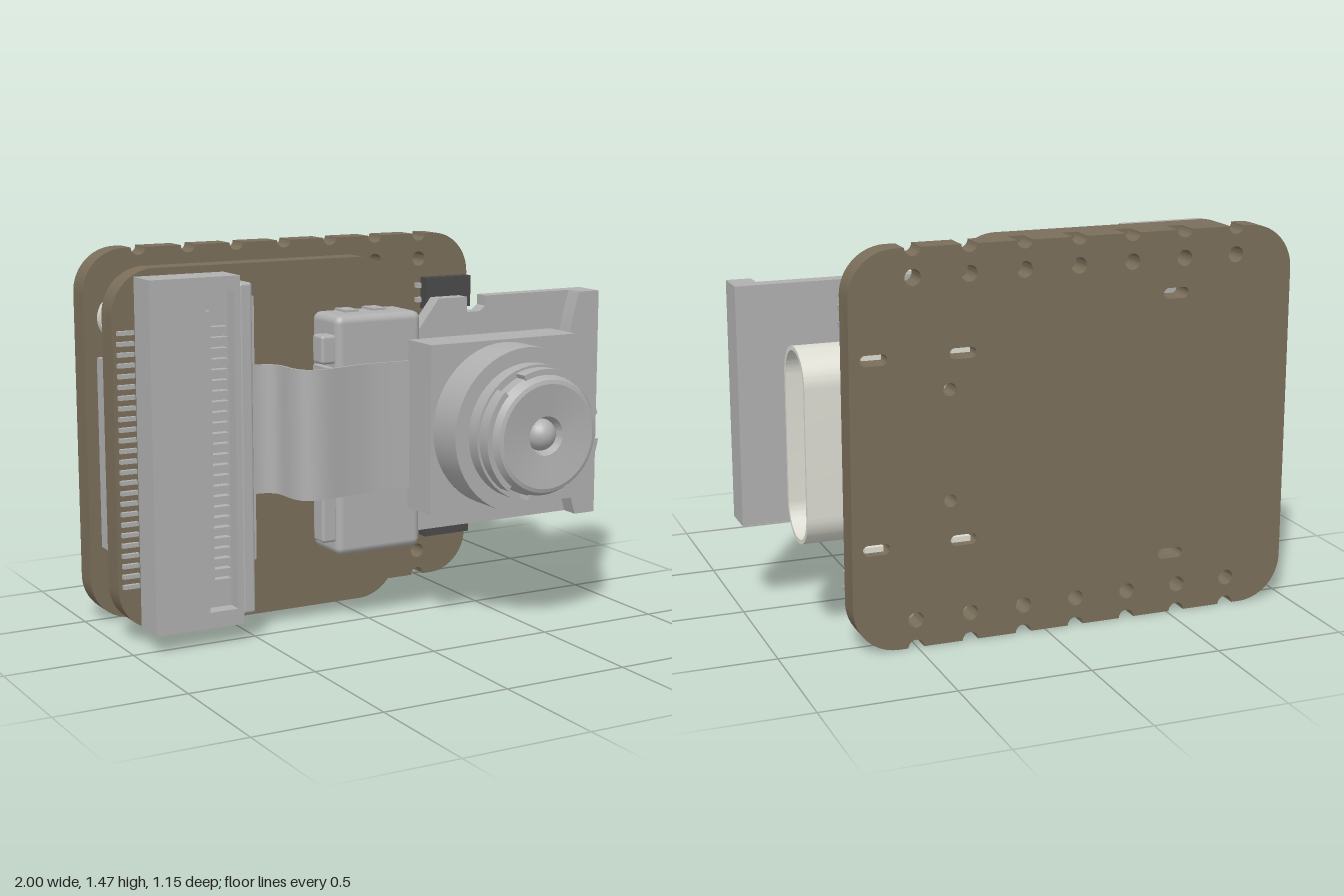
import * as THREE from 'three';
import { toCreasedNormals } from 'three/addons/utils/BufferGeometryUtils.js';
import { RoundedBoxGeometry } from 'three/addons/geometries/RoundedBoxGeometry.js';

const material = (name, color) => Object.assign(new THREE.MeshStandardMaterial({ color }), { name });

// Rounded rectangle with optional half-round notches along top and bottom edges
function roundRect(path, x0, x1, y0, y1, r, notches = [], nr = 0.03) {
  path.moveTo(x0 + r, y0);
  for (const x of notches) path.absarc(x, y0, nr, Math.PI, 0, true);
  path.absarc(x1 - r, y0 + r, r, -Math.PI / 2, 0);
  path.absarc(x1 - r, y1 - r, r, 0, Math.PI / 2);
  for (const x of [...notches].reverse()) path.absarc(x, y1, nr, 0, Math.PI, true);
  path.absarc(x0 + r, y1 - r, r, Math.PI / 2, Math.PI);
  path.absarc(x0 + r, y0 + r, r, Math.PI, Math.PI * 1.5);
  return path;
}

const extrude = (shape, depth) =>
  toCreasedNormals(new THREE.ExtrudeGeometry(shape, { depth, bevelEnabled: false, curveSegments: 12 }), 0.6);

export function createModel() {
  const model = new THREE.Group();
  model.name = 'cameraBoard';
  const brown = material('boardBrown', 0x7a6e5a);
  const gray = material('partGray', 0xb0b0b0);
  const dark = material('plasticDark', 0x4a4a4a);
  const black = material('tongueBlack', 0x303030);
  const light = material('shellLight', 0xdcdcd2);

  const add = (name, geometry, mat, x = 0, y = 0, z = 0, parent = model) => {
    const mesh = new THREE.Mesh(geometry, mat);
    mesh.name = name;
    mesh.position.set(x, y, z);
    parent.add(mesh);
    return mesh;
  };
  // Box given by its limits, rounded when r > 0
  const box = (name, mat, x0, x1, y0, y1, z0, z1, r = 0) => {
    const s = [x1 - x0, y1 - y0, z1 - z0];
    const g = r ? new RoundedBoxGeometry(...s, 3, r) : new THREE.BoxGeometry(...s);
    return add(name, g, mat, (x0 + x1) / 2, (y0 + y1) / 2, (z0 + z1) / 2);
  };

  // Main board with edge notches, pin holes and mounting slots
  const columns = Array.from({ length: 7 }, (_, i) => -0.75 + i * 0.209);
  const mainShape = roundRect(new THREE.Shape(), -0.98, 0.74, 0, 1.465, 0.17, columns);
  const hole = (x, y, r) => mainShape.holes.push(new THREE.Path().absarc(x, y, r, 0, Math.PI * 2));
  const slot = (x, y) =>
    mainShape.holes.push(roundRect(new THREE.Path(), x - 0.05, x + 0.05, y - 0.02, y + 0.02, 0.0199));
  for (const x of columns) for (const y of [0.105, 1.36]) hole(x, y, 0.03);
  for (const y of [0.54, 0.95]) hole(0.37, y, 0.024);
  for (const [x, dy] of [[0.65, 0.345], [0.32, 0.345], [-0.51, 0.5]])
    for (const s of [-1, 1]) slot(x, 0.733 + s * dy);
  add('mainBoard', extrude(mainShape, 0.1), brown, 0, 0, -0.575);

  // Smaller front board
  const frontShape = roundRect(new THREE.Shape(), -1, 0.2, 0.045, 1.42, 0.17);
  add('frontBoard', extrude(frontShape, 0.1), brown, 0, 0, -0.232);

  // Parts sandwiched between the boards
  box('shieldCan', gray, -0.68, 0.19, 0.2, 1.25, -0.475, -0.31, 0.02);
  box('boardConnector', gray, -0.93, -0.71, 0.3, 1.05, -0.475, -0.232);
  box('connectorFlange', gray, -0.95, -0.69, 0.32, 1.03, -0.25, -0.232);
  for (let i = 0; i < 20; i++) {
    const y = 0.36 + i * 0.033;
    box('connectorPin', gray, -0.965, -0.93, y, y + 0.014, -0.255, -0.235);
  }
  const antennaProfile = [[0, 0], [0.095, 0], [0.095, 0.035], [0.07, 0.035], [0.07, 0.055],
    [0.083, 0.06], [0.083, 0.1], [0.06, 0.1], [0.06, 0.06], [0, 0.06]].map(p => new THREE.Vector2(...p));
  const antenna = new THREE.LatheGeometry(antennaProfile, 32).rotateX(Math.PI / 2);
  add('antennaSocket', toCreasedNormals(antenna, 0.5), light, -0.83, 1.2, -0.475);

  // Side buttons beside the port, with solder leads
  for (const [y0, y1] of [[0.18, 0.31], [1.155, 1.285]]) {
    box('sideButton', dark, 0.505, 0.72, y0, y1, -0.46, -0.41);
    for (const y of [y0 + 0.025, y1 - 0.045])
      box('buttonLead', gray, 0.485, 0.74, y, y + 0.02, -0.475, -0.45);
  }

  // Charging port: hollow shell along x, insert and tongue
  const port = new THREE.Group();
  port.name = 'chargingPort';
  model.add(port);
  const shell = roundRect(new THREE.Shape(), 0.206, 0.47, 0.37, 1.096, 0.128);
  shell.holes.push(roundRect(new THREE.Path(), 0.222, 0.454, 0.386, 1.08, 0.112));
  add('portShell', extrude(shell, 0.6).rotateY(Math.PI / 2), light, 0.27, 0, 0, port);
  const insert = roundRect(new THREE.Shape(), 0.222, 0.454, 0.386, 1.08, 0.112);
  add('portInsert', extrude(insert, 0.13).rotateY(Math.PI / 2), dark, 0.28, 0, 0, port);
  box('portTongue', black, 0.4, 0.82, 0.46, 1.01, -0.367, -0.307);
  for (let i = 0; i < 12; i++)
    for (const z of [-0.371, -0.307]) {
      const y = 0.525 + i * 0.036;
      box('portContact', gray, 0.5, 0.79, y, y + 0.014, z, z + 0.004);
    }
  box('portTail', light, 0.2, 0.28, 0.5, 0.97, -0.475, -0.445);
  for (const x of [0.32, 0.65]) for (const y of [0.382, 1.084])
    box('portLeg', light, x - 0.035, x + 0.035, y - 0.01, y + 0.01, -0.55, -0.36);

  // Ribbon connector on the front board with its slotted window
  const frame = new THREE.Shape([[-0.92, 0.068], [-0.56, 0.068], [-0.56, 1.395], [-0.92, 1.395]]
    .map(p => new THREE.Vector2(...p)));
  frame.holes.push(new THREE.Path([[-0.68, 0.19], [-0.68, 1.27], [-0.7, 1.27], [-0.7, 1.34], [-0.585, 1.34],
    [-0.585, 0.13], [-0.7, 0.13], [-0.7, 0.19]].map(p => new THREE.Vector2(...p))));
  add('ribbonConnectorFrame', extrude(frame, 0.06), gray, 0, 0, -0.025);
  box('ribbonConnectorBase', gray, -0.92, -0.56, 0.068, 1.395, -0.11, -0.025);
  box('ribbonConnectorFoot', gray, -0.89, -0.58, 0.1, 1.36, -0.132, -0.11);
  box('ribbonConnectorLatch', gray, -0.56, -0.505, 0.1, 1.365, -0.11, 0.025, 0.012);
  box('ribbonStiffener', gray, -0.51, -0.45, 0.28, 1.3, -0.095, -0.08);
  for (let i = 0; i < 25; i++) {
    const y = 0.22 + i * 0.04;
    box('solderTail', gray, -0.985, -0.92, y, y + 0.016, -0.132, -0.115);
    box('contactBar', gray, -0.68, -0.6, y + 0.01, y + 0.027, -0.025, 0.01);
  }

  // Flexible ribbon: a thin curved strip extruded along y
  const curve = new THREE.SplineCurve([[-0.5, 0.085], [-0.42, 0.085], [-0.37, 0.045], [-0.36, -0.06],
    [-0.335, -0.115], [-0.27, -0.135], [-0.15, -0.112], [-0.03, -0.096], [0.13, -0.104]]
    .map(p => new THREE.Vector2(...p)));
  const side = (s) => Array.from({ length: 49 }, (_, i) => {
    const p = curve.getPoint(i / 48), t = curve.getTangent(i / 48);
    return new THREE.Vector2(p.x - t.y * s, p.y + t.x * s);
  });
  const strip = new THREE.Shape([...side(-0.005), ...side(0.005).reverse()]);
  add('flexRibbon', extrude(strip, 0.5).rotateX(-Math.PI / 2), gray, 0, 0.537, 0);

  // Card socket with clips
  box('cardSocket', gray, -0.18, 0.192, 0.29, 1.222, -0.132, 0.078, 0.03);
  for (const [y0, y1] of [[0.345, 0.53], [1.04, 1.15]]) {
    box('socketClip', gray, -0.235, -0.17, y0, y1, -0.02, 0.06, 0.012);
    box('socketClipStep', gray, -0.21, -0.17, 0.733 * 0.3 + y0 * 0.7, 0.733 * 0.3 + y1 * 0.7, -0.06, 0.05);
  }
  for (const x of [-0.09, 0.03]) box('socketTab', gray, x, x + 0.06, 1.2, 1.23, -0.11, -0.02);

  // Memory card with a raised, curved finger grip
  const card = new THREE.Shape([[0, 0.345], [0.995, 0.345], [0.995, 1.26], [0.5, 1.26], [0.5, 1.22],
    [0.475, 1.2], [0.415, 1.2], [0.415, 1.26], [0.285, 1.26], [0.2, 1.15], [0, 1.15]]
    .map(p => new THREE.Vector2(...p)));
  add('memoryCard', extrude(card, 0.062), gray, 0, 0, -0.013);
  const grip = new THREE.Shape();
  grip.moveTo(0.995, 0.345);
  grip.lineTo(0.995, 1.26);
  grip.lineTo(0.9, 1.26);
  grip.bezierCurveTo(0.81, 1, 0.81, 0.6, 0.9, 0.345);
  add('cardGrip', extrude(grip, 0.074), gray, 0, 0, 0.049);

  // Camera: square housing, stepped barrel and small lens
  const camera = new THREE.Group();
  camera.name = 'camera';
  camera.position.set(0.45, 0.787, 0);
  model.add(camera);
  add('cameraHousing', new THREE.BoxGeometry(0.66, 0.66, 0.172), gray, 0, 0, 0.184, camera);
  const barrel = [[0.32, 0.26], [0.32, 0.43], [0.262, 0.43], [0.262, 0.49], [0.235, 0.49], [0.235, 0.535],
    [0.215, 0.57], [0.2, 0.575], [0.075, 0.56], [0.06, 0.52], [0, 0.52]].map(p => new THREE.Vector2(...p));
  const barrelGeometry = new THREE.LatheGeometry(barrel, 48).rotateX(Math.PI / 2);
  add('lensBarrel', toCreasedNormals(barrelGeometry, 0.35), gray, 0, 0, 0, camera);
  add('lens', new THREE.SphereGeometry(0.062, 24, 16), gray, 0, 0, 0.515, camera);
  // Raised arcs around the barrel, leaving notches between them
  for (let i = 0; i < 3; i++) {
    const a = i * Math.PI * 2 / 3 + 0.25, b = a + 1.7;
    const arc = new THREE.Shape().absarc(0, 0, 0.252, a, b).absarc(0, 0, 0.23, b, a, true);
    add('barrelArc', extrude(arc, 0.06), gray, 0, 0, 0.485, camera);
  }
  return model;
}
